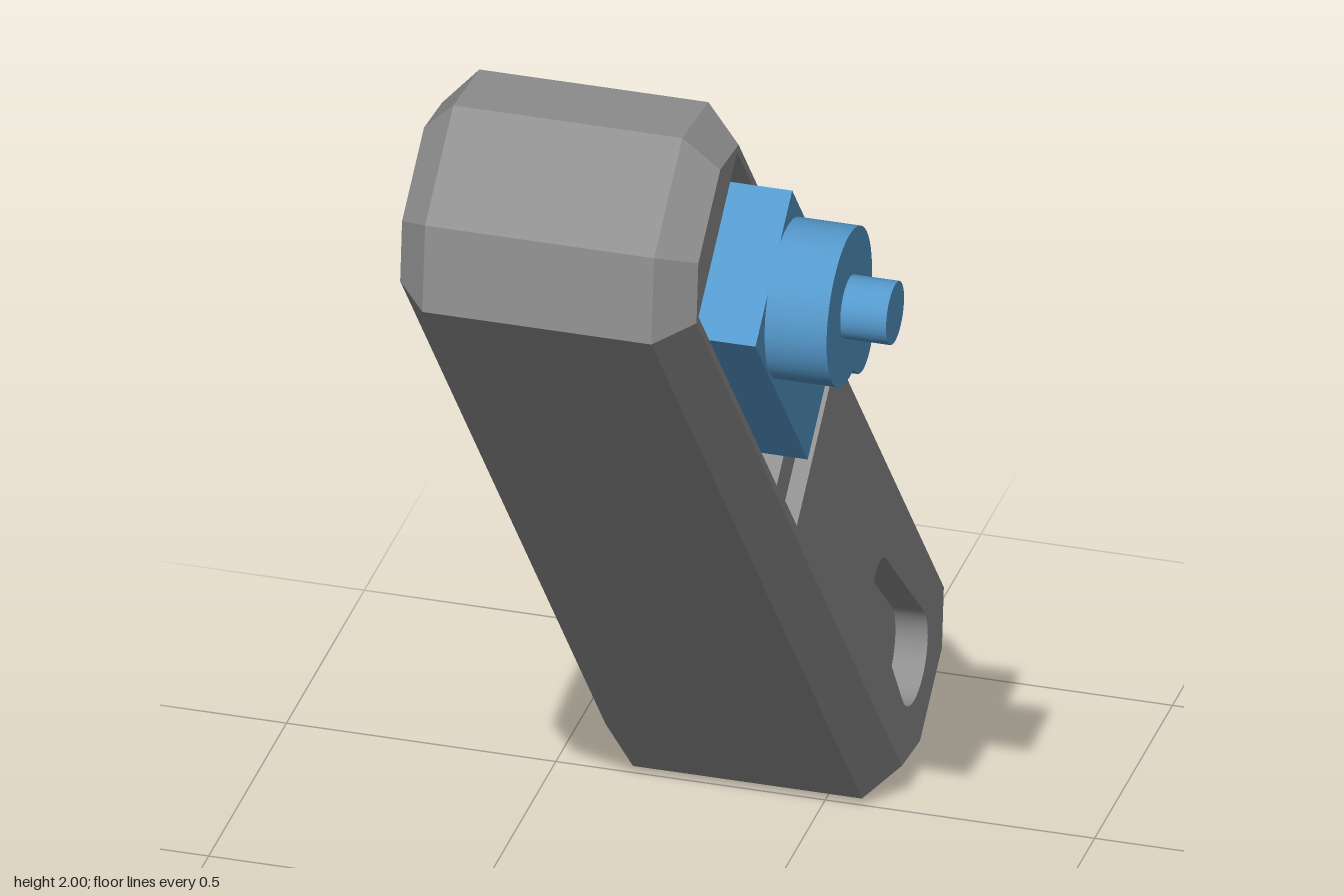
import * as THREE from 'three';
import { mergeGeometries, toCreasedNormals } from 'three/addons/utils/BufferGeometryUtils.js';

// Local frame: X = across the arm, Y = along the arm, Z = arm thickness (world x)
const octagon = (w, l, c) => [
  [w, -l + c], [w, l - c], [w - c, l], [-w + c, l],
  [-w, l - c], [-w, -l + c], [-w + c, -l], [w - c, -l],
];
const rect = (w, y0, y1) => [[w, y0], [w, y1], [-w, y1], [-w, y0]];
const circle = (cy, r, n = 32) => Array.from({ length: n }, (_, i) => {
  const a = (i / n) * Math.PI * 2;
  return [r * Math.cos(a), cy + r * Math.sin(a)];
});
const toVectors = (pts) => pts.map(([x, y]) => new THREE.Vector2(x, y));
function toShape(pts, holes = []) {
  const s = new THREE.Shape(toVectors(pts));
  s.holes = holes.map((h) => new THREE.Path(toVectors(h)));
  return s;
}

// Quads joining two matching outlines at heights z0 and z1
function band(a, z0, b, z1) {
  const p = [];
  a.forEach((_, i) => {
    const j = (i + 1) % a.length;
    const A = [...a[i], z0], B = [...a[j], z0], C = [...b[j], z1], D = [...b[i], z1];
    p.push(...A, ...B, ...C, ...A, ...C, ...D);
  });
  const g = new THREE.BufferGeometry();
  g.setAttribute('position', new THREE.Float32BufferAttribute(p, 3));
  g.computeVertexNormals();
  return g;
}

// Flat face at height z
function cap(pts, z, holes = [], flip = false) {
  const g = new THREE.ShapeGeometry(toShape(pts, holes)).toNonIndexed();
  g.deleteAttribute('uv');
  if (flip) g.rotateY(Math.PI);
  return g.translate(0, 0, z);
}

// Walls and floor of a recess
const recess = (pts, top, floor, holes = []) => [
  band([...pts].reverse(), top, [...pts].reverse(), floor),
  cap(pts, floor, holes),
];

// Teardrop outline: hull of two circles on the arm axis
function teardrop(y0, r0, y1, r1, n = 20) {
  const t = Math.asin((r0 - r1) / (y1 - y0));
  const pts = [];
  for (let i = 0; i <= n; i++) {
    const a = t + (i / n) * (Math.PI - 2 * t);
    pts.push([r1 * Math.cos(a), y1 + r1 * Math.sin(a)]);
  }
  for (let i = 0; i <= n; i++) {
    const a = Math.PI - t + (i / n) * (Math.PI + 2 * t);
    pts.push([r0 * Math.cos(a), y0 + r0 * Math.sin(a)]);
  }
  return pts;
}

export function createModel() {
  const model = new THREE.Group();
  const arm = new THREE.Group();
  arm.name = 'tiltedArm';
  model.add(arm);

  const grey = new THREE.MeshStandardMaterial({ color: 0x909090, side: THREE.DoubleSide });
  grey.name = 'casing grey';
  const blue = new THREE.MeshStandardMaterial({ color: 0x5599cc });
  blue.name = 'servo blue';

  const add = (name, geo, mat, parent) => {
    const mesh = new THREE.Mesh(toCreasedNormals(geo, 0.5), mat);
    mesh.name = name;
    parent.add(mesh);
  };

  // Casing outlines
  const outer = octagon(0.236, 1.193, 0.119);
  const inner = octagon(0.174, 1.13, 0.083);
  const nw = 0.175, nTop = -1.105, nEdge = -1.135;
  const notched = [...outer.slice(0, 6), [-nw, nEdge], [-nw, nTop], [nw, nTop], [nw, nEdge]];
  const notchWall = [[-nw, nEdge], [-0.117, -1.193], [0.117, -1.193], [nw, nEdge], [nw, nTop], [-nw, nTop]];

  // Recess outlines
  const servoPocket = rect(0.16, 0.246, 1.044);
  const slot = rect(0.156, 0.046, 0.165);
  const drop = teardrop(-0.958, 0.088, -0.613, 0.05);
  const screws = [0.319, 0.979];
  const pilots = screws.map((y) => circle(y, 0.016, 16));

  const back = -0.415, backEdge = -0.355, frontEdge = 0.07, face = 0.135;
  const n0 = -0.335, n1 = -0.08;

  // Bevelled casing shell with a notch in its lower end
  add('casing', mergeGeometries([
    cap(inner, back, [], true),
    band(inner, back, outer, backEdge),
    band(outer, backEdge, outer, n0),
    band(notched, n0, notched, n1),
    band(outer, n1, outer, frontEdge),
    band(outer, frontEdge, inner, face),
    cap(inner, face, [servoPocket, slot, drop]),
    cap(notchWall, n0),
    cap(notchWall, n1, [], true),
  ]), grey, arm);

  // Recesses in the casing face
  add('servoPocket', mergeGeometries([
    ...recess(servoPocket, face, 0.03, pilots),
    ...pilots.flatMap((p) => recess(p, 0.03, -0.03)),
  ]), grey, arm);
  add('cableSlot', mergeGeometries(recess(slot, face, 0)), grey, arm);
  add('teardropRecess', mergeGeometries(recess(drop, face, 0.075)), grey, arm);

  // Servo: mounting flange, body, gear housings and shaft
  const servo = new THREE.Group();
  servo.name = 'servo';
  arm.add(servo);
  const slab = (name, pts, z0, z1, holes = []) => {
    const g = new THREE.ExtrudeGeometry(toShape(pts, holes), { depth: z1 - z0, bevelEnabled: false });
    add(name, g.translate(0, 0, z0), blue, servo);
  };
  slab('mountingFlange', rect(0.152, 0.255, 1.036), 0.031, 0.09, screws.map((y) => circle(y, 0.037)));
  slab('servoBody', rect(0.152, 0.379, 0.912), 0.032, 0.215);
  slab('gearHousing', circle(0.775, 0.146, 48), 0.21, 0.33);
  slab('smallGearHousing', circle(0.628, 0.066), 0.21, 0.329);
  slab('outputShaft', circle(0.775, 0.058), 0.32, 0.415);

  // Lean the arm: top forward, lower end back
  const s = 0.63, c = Math.sqrt(1 - s * s);
  arm.quaternion.setFromRotationMatrix(new THREE.Matrix4().makeBasis(
    new THREE.Vector3(0, s, -c), new THREE.Vector3(0, c, s), new THREE.Vector3(1, 0, 0)));
  arm.position.y = 1;
  return model;
}
